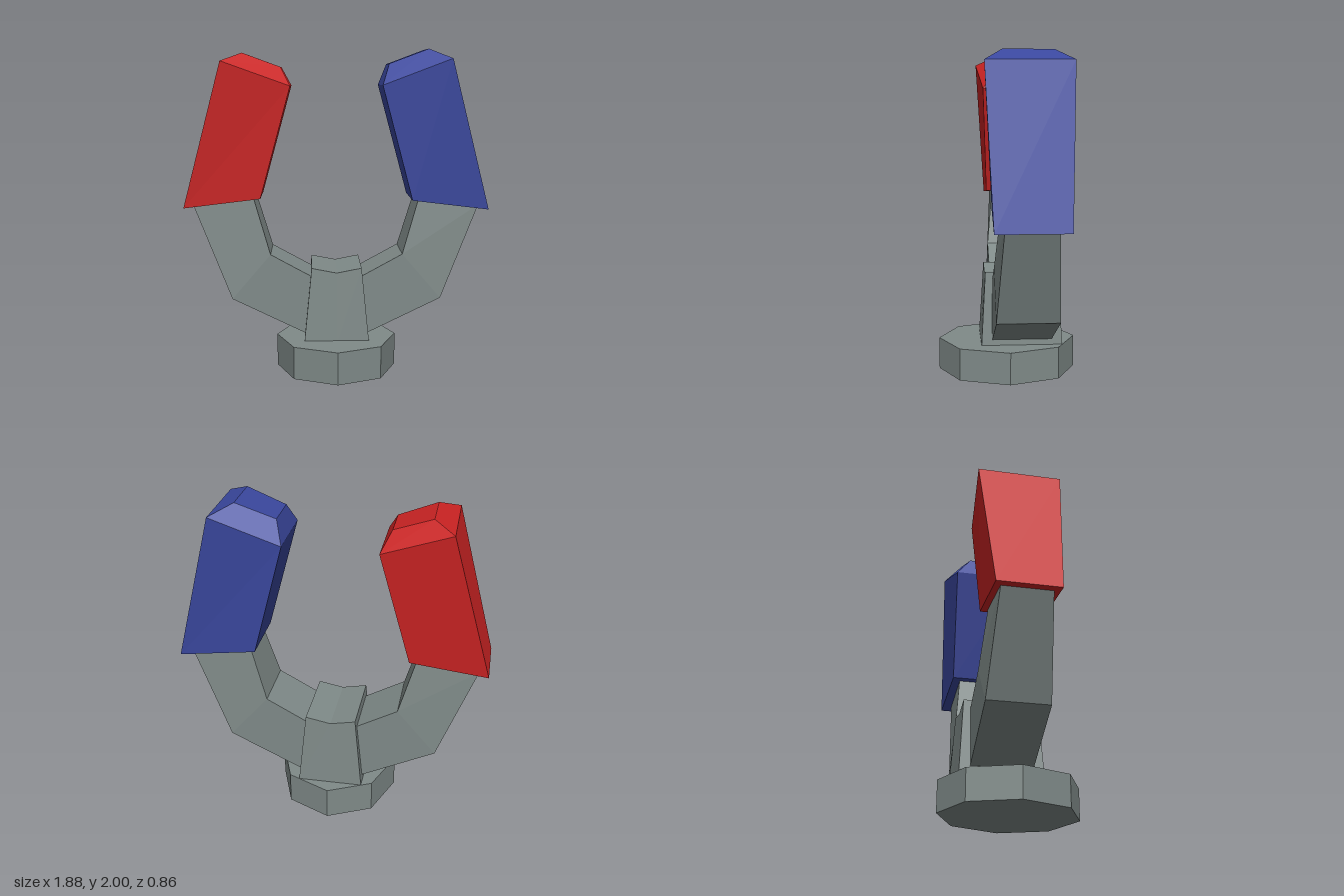
import * as THREE from 'three';

// Lofts a closed solid through rings of points (counter-clockwise seen from the last ring's end)
function loft(rings) {
  const pos = [];
  const n = rings[0].length;
  const tri = (a, b, c) => pos.push(...a, ...b, ...c);
  for (let r = 0; r < rings.length - 1; r++) {
    const a = rings[r], b = rings[r + 1];
    for (let i = 0; i < n; i++) {
      const j = (i + 1) % n;
      tri(a[i], a[j], b[j]);
      tri(a[i], b[j], b[i]);
    }
  }
  const first = rings[0], last = rings[rings.length - 1];
  for (let i = 1; i < n - 1; i++) {
    tri(last[0], last[i], last[i + 1]);
    tri(first[0], first[i + 1], first[i]);
  }
  const geo = new THREE.BufferGeometry();
  geo.setAttribute('position', new THREE.Float32BufferAttribute(pos, 3));
  geo.computeVertexNormals();
  return geo;
}

// Four-cornered cross-section: inner edge and outer edge, each with its own half depth
const AXIS_Z = -0.083;
function section(side, [xi, yi, di, xo, yo, dout]) {
  const ring = [
    [side * xi, yi, AXIS_Z + di],
    [side * xo, yo, AXIS_Z + dout],
    [side * xo, yo, AXIS_Z - dout],
    [side * xi, yi, AXIS_Z - di],
  ];
  return side > 0 ? ring : ring.reverse();
}

export function createModel() {
  const model = new THREE.Group();
  const material = (name, color) => {
    const m = new THREE.MeshStandardMaterial({ color, flatShading: true });
    m.name = name;
    return m;
  };
  const grey = material('grey metal', 0x7f8a88);
  const red = material('red paint', 0xca2323);
  const blue = material('blue paint', 0x3a479e);
  const add = (name, geometry, mat) => {
    const mesh = new THREE.Mesh(geometry, mat);
    mesh.name = name;
    model.add(mesh);
  };

  // Eight-sided foot
  const foot = new THREE.CylinderGeometry(0.43, 0.43, 0.2, 8);
  foot.scale(0.375 / 0.43, 1, 1);
  foot.translate(0, 0.1, 0);
  add('foot', foot, grey);

  // Tapered middle block with a shallow valley along its top
  const blockRing = (w, y, yMid, d) => [
    [0, yMid, AXIS_Z + d], [w, y, AXIS_Z + d], [w, y, AXIS_Z - d],
    [0, yMid, AXIS_Z - d], [-w, y, AXIS_Z - d], [-w, y, AXIS_Z + d],
  ];
  add('middleBlock', loft([
    blockRing(0.202, 0.18, 0.18, 0.252),
    blockRing(0.155, 0.655, 0.625, 0.225),
  ]), grey);

  // Bent arms, mirrored
  const arm = [
    [0.14, 0.587, 0.185, 0.17, 0.222, 0.185],
    [0.41, 0.735, 0.185, 0.65, 0.455, 0.185],
    [0.515, 1.09, 0.15, 0.885, 1.04, 0.15],
  ];
  for (const side of [-1, 1]) {
    add(side > 0 ? 'leftArm' : 'rightArm', loft(arm.map((s) => section(side, s))), grey);
  }

  // Painted pole tips with bevelled ends
  const blueTip = [
    [0.47, 1.073, 0.2, 0.94, 1.018, 0.212],
    [0.28, 1.78, 0.218, 0.7, 1.94, 0.251],
    [0.325, 1.91, 0.125, 0.565, 2.0, 0.146],
  ];
  const redTip = [
    [0.47, 1.085, 0.19, 0.943, 1.028, 0.188],
    [0.282, 1.775, 0.218, 0.7, 1.925, 0.251],
    [0.342, 1.89, 0.123, 0.575, 1.975, 0.142],
  ];
  add('leftTip', loft(blueTip.map((s) => section(1, s))), blue);
  add('rightTip', loft(redTip.map((s) => section(-1, s))), red);

  return model;
}
